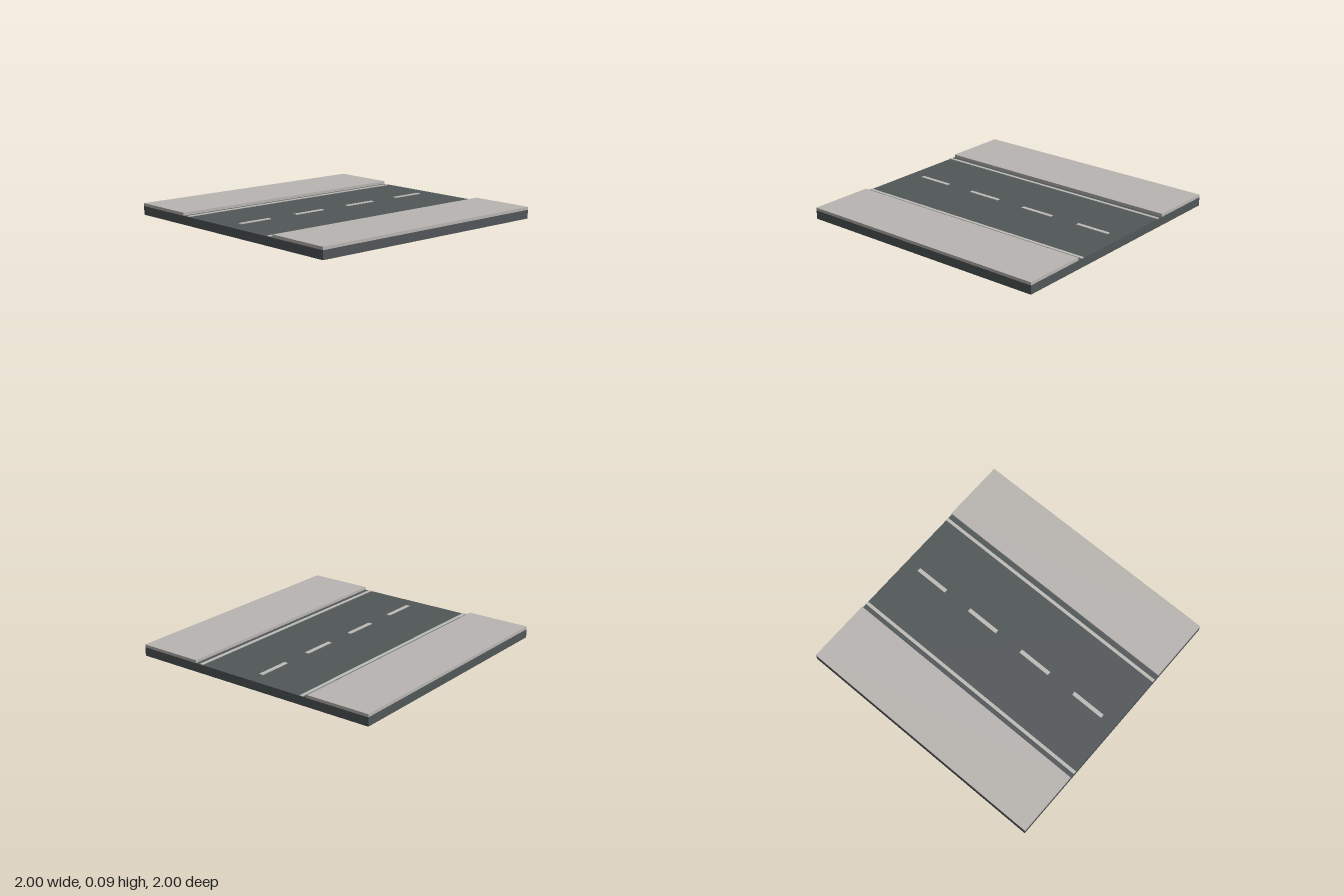
import * as THREE from 'three';

export function createModel() {
  const group = new THREE.Group();
  group.name = 'roadTile';

  const material = (name, color) => {
    const m = new THREE.MeshStandardMaterial({ color });
    m.name = name;
    return m;
  };
  const asphalt = material('asphalt grey', 0x515658);
  const pavement = material('pavement stone', 0xb9b5b1);
  const paint = material('road paint', 0xbdbbb6);

  // Box given by its size, its bottom height and its centre on the ground
  const slab = (name, mat, w, h, d, x, bottom, z) => {
    const mesh = new THREE.Mesh(new THREE.BoxGeometry(w, h, d), mat);
    mesh.name = name;
    mesh.position.set(x, bottom + h / 2, z);
    group.add(mesh);
  };

  const roadTop = 0.065;
  const paintHeight = 0.005;

  // Asphalt base across the whole tile
  slab('roadBase', asphalt, 2, roadTop, 2, 0, 0, 0);

  // Raised sidewalk and solid edge line on each side
  for (const [side, s] of [['front', 1], ['back', -1]]) {
    slab(`${side}Sidewalk`, pavement, 2, 0.022, 0.5, 0, roadTop, s * 0.75);
    slab(`${side}EdgeLine`, paint, 2, paintHeight, 0.025, 0, roadTop, s * 0.45);
  }

  // Dashed centre line
  for (let i = 0; i < 4; i++) {
    slab(`centreDash${i + 1}`, paint, 0.27, paintHeight, 0.03, -0.75 + i * 0.5, roadTop, 0);
  }

  return group;
}
